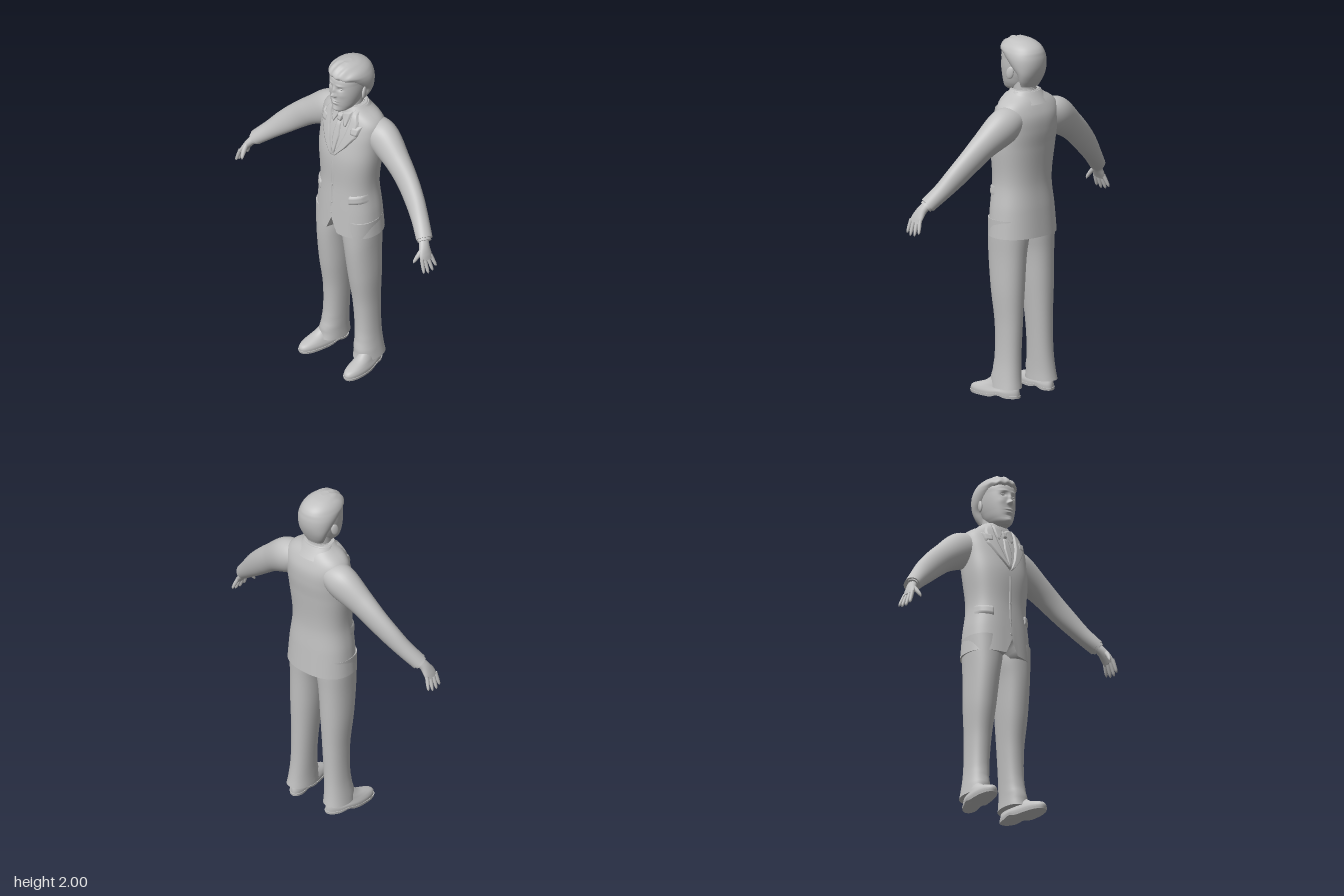
import * as THREE from 'three';

const V = (x, y, z) => new THREE.Vector3(x, y, z);

// Smooth interpolation through rows, keyed by the first number of each row
function spline(rows) {
  const n = rows[0].length - 1;
  const it = new THREE.CubicInterpolant(rows.map(r => r[0]), rows.flatMap(r => r.slice(1)), n, new Float32Array(n));
  return t => Array.from(it.evaluate(t));
}

// Closed tube of rings: fn(v, angle) gives a point; both ends get flat caps
function surface(fn, nu, nv) {
  const pos = [], idx = [];
  for (let j = 0; j <= nv; j++)
    for (let i = 0; i < nu; i++) pos.push(...fn(j / nv, i / nu * Math.PI * 2).toArray());
  for (let j = 0; j < nv; j++)
    for (let i = 0; i < nu; i++) {
      const a = j * nu + i, b = j * nu + (i + 1) % nu;
      idx.push(a, a + nu, b, b, a + nu, b + nu);
    }
  for (const end of [0, nv]) {
    const start = pos.length / 3, c = V(0, 0, 0);
    for (let i = 0; i < nu; i++) {
      const p = V(0, 0, 0).fromArray(pos, (end * nu + i) * 3);
      pos.push(p.x, p.y, p.z);
      c.addScaledVector(p, 1 / nu);
    }
    pos.push(c.x, c.y, c.z);
    for (let i = 0; i < nu; i++) {
      const a = start + i, b = start + (i + 1) % nu;
      idx.push(start + nu, ...(end ? [b, a] : [a, b]));
    }
  }
  return finish(pos, idx);
}

function finish(pos, idx) {
  const g = new THREE.BufferGeometry();
  g.setAttribute('position', new THREE.Float32BufferAttribute(pos, 3));
  g.setIndex(idx);
  g.computeVertexNormals();
  return g;
}

// Horizontal rings; rows are [y, centre x, half width, front z, back z]
function rings(rows, { n = 2, nu = 48, nv = 40, warp = p => p } = {}) {
  const at = spline(rows), y0 = rows[0][0], y1 = rows[rows.length - 1][0];
  const pw = c => Math.sign(c) * Math.abs(c) ** (2 / n);
  return surface((v, a) => {
    const y = y0 + (y1 - y0) * v, [cx, rx, zf, zb] = at(y);
    return warp(V(cx + rx * pw(Math.cos(a)), y, (zf + zb) / 2 + (zf - zb) / 2 * pw(Math.sin(a))));
  }, nu, nv);
}

// Limb along a path; rows are [x, y, z, thickness, depth]
function limb(rows, nu = 24, nv = 30) {
  const at = spline(rows.map((r, i) => [i, ...r])), m = rows.length - 1;
  return surface((v, a) => {
    const r = at(v * m), p = at(Math.max(0, v * m - 0.05)), q = at(Math.min(m, v * m + 0.05));
    const T = V(q[0] - p[0], q[1] - p[1], q[2] - p[2]).normalize();
    const N = V(0, 0, 1).cross(T).normalize(), B = T.clone().cross(N);
    return V(r[0], r[1], r[2]).addScaledVector(N, r[3] * Math.cos(a)).addScaledVector(B, -r[4] * Math.sin(a));
  }, nu, nv);
}

function mirrored(g) {
  const m = g.clone().scale(-1, 1, 1), ix = m.index.array;
  for (let i = 0; i < ix.length; i += 3) [ix[i], ix[i + 1]] = [ix[i + 1], ix[i]];
  m.computeVertexNormals();
  return m;
}

const torsoRows = [
  [0.90, 0, 0.205, 0.122, -0.175], [1.05, 0, 0.193, 0.116, -0.165], [1.20, 0, 0.175, 0.11, -0.155],
  [1.40, 0, 0.191, 0.11, -0.172], [1.50, 0, 0.196, 0.092, -0.184], [1.58, 0, 0.2, 0.07, -0.182],
  [1.63, 0, 0.19, 0.052, -0.165], [1.66, 0, 0.16, 0.043, -0.15], [1.69, 0, 0.108, 0.035, -0.13], [1.715, 0, 0.08, 0.025, -0.115]];
const torsoN = 2.3, torsoAt = spline(torsoRows);

// Thin cloth panel laid over the jacket front between two edge lines
function drape(left, right, lift, nu = 10, sub = 6) {
  const pos = [], idx = [], nv = (left.length - 1) * sub;
  const along = (pts, k) => {
    const i = Math.min(Math.floor(k / sub), pts.length - 2), f = k / sub - i;
    return [0, 1].map(c => pts[i][c] + (pts[i + 1][c] - pts[i][c]) * f);
  };
  for (let j = 0; j <= nv; j++) {
    const l = along(left, j), r = along(right, j);
    for (let i = 0; i <= nu; i++) {
      const x = l[0] + (r[0] - l[0]) * i / nu, y = l[1] + (r[1] - l[1]) * i / nu;
      const [, rx, zf, zb] = torsoAt(y);
      const k = Math.max(0, 1 - Math.abs(x / rx) ** torsoN) ** (1 / torsoN);
      const rim = i === 0 || i === nu || j === 0 || j === nv;
      pos.push(x * (1 + lift), y, (zf + zb) / 2 + (zf - zb) / 2 * k + (rim ? -0.002 : lift));
      if (i < nu && j < nv) {
        const a = j * (nu + 1) + i, b = a + nu + 1;
        idx.push(a, b, a + 1, a + 1, b, b + 1);
      }
    }
  }
  return finish(pos, idx);
}

// Face relief: [x, y, spread x, spread y, height], same on both sides
const relief = [
  [0, 1.82, 0.011, 0.012, 0.026], [0, 1.848, 0.009, 0.02, 0.013], [0.013, 1.815, 0.006, 0.007, 0.007],
  [0.035, 1.864, 0.015, 0.01, -0.01], [0.033, 1.888, 0.022, 0.007, 0.005], [0, 1.779, 0.02, 0.005, 0.007],
  [0, 1.771, 0.022, 0.002, -0.004], [0, 1.763, 0.017, 0.005, 0.007], [0, 1.718, 0.02, 0.012, 0.006],
  [0, 1.745, 0.025, 0.006, -0.003], [0.045, 1.825, 0.018, 0.018, 0.003]];
function faceWarp(p) {
  if (p.z < 0.02) return p;
  const z = relief.reduce((s, [x, y, sx, sy, h]) =>
    s + h * Math.exp(-(((Math.abs(p.x) - x) / sx) ** 2) - ((p.y - y) / sy) ** 2), 0);
  p.z += z;
  return p;
}

export function createModel() {
  const root = new THREE.Group();
  const grey = new THREE.MeshStandardMaterial({ color: 0xc0c0c0, side: THREE.DoubleSide });
  grey.name = 'plain grey';
  const add = (name, g) => {
    const m = new THREE.Mesh(g, grey);
    m.name = name;
    root.add(m);
  };
  const pair = (name, g) => { add('left ' + name, g); add('right ' + name, mirrored(g)); };

  // Jacket body, with the front hem cut away in a small V
  add('jacket', rings(torsoRows, { n: torsoN, nu: 128, nv: 70, warp: p => {
    if (p.z > 0 && p.y < 1.2) p.y += 0.09 * Math.max(0, 1 - Math.abs(p.x) / 0.04) * (1.2 - p.y) / 0.3;
    return p;
  } }));
  add('jacket collar', rings([[1.645, 0, 0.125, 0.01, -0.165], [1.68, 0, 0.108, 0.01, -0.142], [1.71, 0, 0.088, 0.005, -0.124]], { nv: 10 }));
  pair('lapel', drape([[0.07, 1.705], [0.068, 1.64], [0.055, 1.57], [0.03, 1.48], [0, 1.41]],
    [[0.09, 1.695], [0.118, 1.645], [0.128, 1.565], [0.075, 1.485], [0.006, 1.405]], 0.011));
  pair('lapel peak', drape([[0.085, 1.622], [0.09, 1.57]], [[0.142, 1.632], [0.128, 1.565]], 0.013));
  pair('pocket flap', drape([[0.1, 1.172], [0.104, 1.115]], [[0.172, 1.18], [0.178, 1.13]], 0.009));
  add('jacket front edge', drape([[-0.014, 1.41], [-0.014, 1.01]], [[0.006, 1.41], [0.006, 1.01]], 0.003, 4));
  for (const y of [1.21, 1.09, 1.02]) {
    const g = new THREE.CylinderGeometry(0.007, 0.007, 0.006, 16).rotateX(Math.PI / 2);
    add('button', g.translate(-0.004, y, torsoAt(y)[2] + 0.004));
  }

  // Shirt collar and tie
  add('shirt collar', rings([[1.66, 0, 0.078, 0.036, -0.118], [1.715, 0, 0.068, 0.03, -0.11]],
    { nv: 8, warp: p => { p.y -= 0.15 * (p.z + 0.05); return p; } }));
  pair('collar wing', drape([[0.008, 1.672], [0.014, 1.648], [0.042, 1.595]], [[0.068, 1.7], [0.062, 1.65], [0.05, 1.6]], 0.008));
  add('tie', drape([[-0.013, 1.622], [-0.024, 1.54], [-0.006, 1.415]], [[0.013, 1.622], [0.024, 1.54], [0.006, 1.415]], 0.007));
  add('tie knot', drape([[-0.02, 1.665], [-0.011, 1.618]], [[0.02, 1.665], [0.011, 1.618]], 0.013));

  // Sleeves, shirt cuffs and hands
  pair('sleeve', limb([[0.11, 1.575, -0.075, 0.07, 0.08], [0.2, 1.537, -0.08, 0.1, 0.086], [0.33, 1.45, -0.062, 0.08, 0.066],
    [0.42, 1.375, -0.045, 0.072, 0.055], [0.5, 1.3, -0.02, 0.064, 0.05], [0.575, 1.225, 0.012, 0.051, 0.047], [0.648, 1.153, 0.052, 0.042, 0.047]], 40, 60));
  pair('shirt cuff', limb([[0.63, 1.17, 0.045, 0.034, 0.04], [0.656, 1.144, 0.059, 0.034, 0.04]], 24, 4));
  pair('palm', limb([[0.64, 1.16, 0.052, 0.024, 0.028], [0.668, 1.125, 0.073, 0.023, 0.032],
    [0.69, 1.088, 0.085, 0.018, 0.041], [0.704, 1.06, 0.091, 0.013, 0.042]]));
  [[0.057, 0.04, 0.8], [0.08, 0.07, 0.97], [0.103, 0.103, 1], [0.124, 0.132, 0.88]].forEach(([z0, z1, s], i) => {
    const q = f => [0.7 + (0.034 + i * -0.002) * f * s, 1.075 - 0.088 * f * s, z0 + (z1 - z0) * f];
    pair('finger', limb([[...q(0), 0.011, 0.011], [...q(0.45), 0.0105, 0.0105], [...q(0.85), 0.008, 0.008], [...q(1), 0.002, 0.002]], 10, 12));
  });
  pair('thumb', limb([[0.676, 1.125, 0.09, 0.012, 0.014], [0.672, 1.09, 0.122, 0.013, 0.013],
    [0.664, 1.06, 0.143, 0.009, 0.009], [0.661, 1.045, 0.149, 0.003, 0.003]], 10, 14));

  // Trousers and shoes
  pair('trouser leg', rings([[0.055, 0.135, 0.071, 0.06, -0.135], [0.1, 0.132, 0.067, 0.058, -0.128], [0.2, 0.124, 0.062, 0.042, -0.12],
    [0.4, 0.115, 0.066, 0.045, -0.12], [0.6, 0.111, 0.08, 0.074, -0.126], [0.8, 0.104, 0.09, 0.096, -0.132],
    [0.9, 0.097, 0.101, 0.1, -0.138], [1.0, 0.095, 0.105, 0.1, -0.14]], { n: 2.2,
    warp: p => { // soft folds above the shoe
      if (p.y < 0.25 && p.z > -0.03) p.z += 0.004 * Math.sin(p.y * 90 + p.x * 25) * (0.25 - p.y) / 0.2;
      return p;
    } }));
  const toeOut = p => {
    p.x += 0.14 * p.z + 0.009 * Math.sin((p.z + 0.13) * 9);
    p.y += 0.014 * Math.exp(-(((p.z + 0.03) / 0.03) ** 2)) * Math.max(0, 1 - p.y / 0.05);
    return p;
  };
  pair('shoe sole', rings([[0, 0.145, 0.056, 0.186, -0.128], [0.014, 0.145, 0.058, 0.19, -0.13]], { n: 2.3, nv: 4, warp: toeOut }));
  pair('shoe', rings([[0.013, 0.145, 0.055, 0.186, -0.126], [0.03, 0.145, 0.055, 0.186, -0.126], [0.046, 0.145, 0.05, 0.172, -0.124],
    [0.058, 0.145, 0.046, 0.14, -0.12], [0.075, 0.145, 0.042, 0.09, -0.115], [0.11, 0.14, 0.038, 0.04, -0.105]], { n: 2.2, nv: 24, warp: toeOut }));

  // Head
  add('neck', rings([[1.64, 0, 0.066, 0.022, -0.108], [1.7, 0, 0.061, 0.022, -0.108], [1.8, 0, 0.062, 0.03, -0.115]], { nv: 12 }));
  add('face', rings([[1.698, 0, 0.026, 0.082, 0], [1.708, 0, 0.044, 0.092, -0.035], [1.735, 0, 0.064, 0.096, -0.07], [1.78, 0, 0.08, 0.1, -0.1],
    [1.83, 0, 0.09, 0.101, -0.12], [1.88, 0, 0.093, 0.1, -0.13], [1.92, 0, 0.092, 0.094, -0.13], [1.96, 0, 0.07, 0.065, -0.1], [1.98, 0, 0.03, 0.03, -0.05]],
  { n: 2.15, nu: 128, nv: 90, warp: faceWarp }));
  const eye = new THREE.SphereGeometry(0.0125, 16, 12).scale(1.1, 0.6, 0.7);
  pair('eye', eye.translate(0.034, 1.864, 0.082));
  const ear = new THREE.SphereGeometry(1, 20, 14).scale(0.01, 0.036, 0.022).rotateX(-0.2).rotateY(0.35);
  pair('ear', ear.translate(0.1, 1.815, -0.032));

  // Hair: full at the back and top, set behind the face below the hairline
  add('hair', rings([[1.735, 0, 0.058, -0.05, -0.116], [1.77, 0, 0.078, -0.05, -0.134], [1.81, 0, 0.093, -0.04, -0.15],
    [1.85, 0, 0.105, 0.005, -0.16], [1.89, 0, 0.111, 0.05, -0.162], [1.915, 0, 0.11, 0.08, -0.158], [1.933, 0, 0.106, 0.103, -0.153],
    [1.96, 0, 0.091, 0.094, -0.133], [1.98, 0, 0.068, 0.07, -0.1], [1.993, 0, 0.042, 0.043, -0.06], [1.997, 0, 0.02, 0.02, -0.03]],
  { n: 2.1, nu: 96, nv: 60, warp: p => { // combed locks at the fringe
    if (p.y > 1.9 && p.z > -0.02) p.y += 0.004 * Math.sin(p.x * 140 + p.z * 30) * Math.min(1, (p.z + 0.02) * 12);
    return p;
  } }));
  return root;
}
